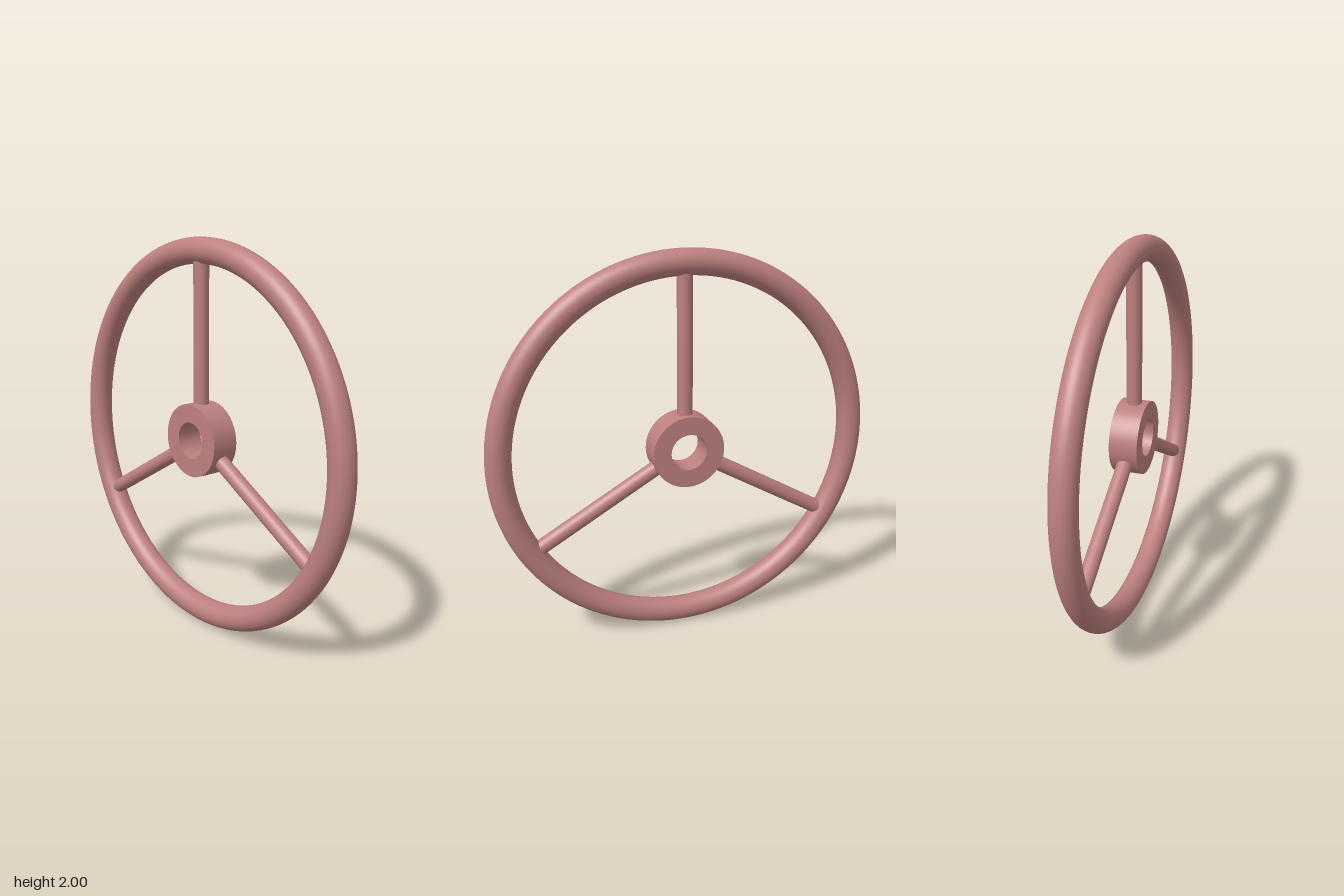
import * as THREE from 'three';
import { mergeGeometries } from 'three/addons/utils/BufferGeometryUtils.js';

const RIM = 0.936, TUBE = 0.064;                  // rim centre line and thickness
const HUB = 0.187, BORE = 0.094, HALF = 0.072;    // hub radii and half width
const SPOKE = 0.039;

// Ring with sharp edges: one lathe strip per side of its square profile
function ringGeometry() {
  const corners = [[HUB, -HALF], [HUB, HALF], [BORE, HALF], [BORE, -HALF]];
  const strips = corners.map((c, i) => {
    const next = corners[(i + 1) % corners.length];
    return new THREE.LatheGeometry([new THREE.Vector2(...c), new THREE.Vector2(...next)], 64);
  });
  return mergeGeometries(strips);
}

export function createModel() {
  const group = new THREE.Group();
  group.name = 'handwheel';
  const paint = new THREE.MeshStandardMaterial({ color: 0xbc807e });
  paint.name = 'dustyRed';

  const add = (name, geometry) => {
    const mesh = new THREE.Mesh(geometry, paint);
    mesh.name = name;
    mesh.position.y = 1;
    group.add(mesh);
    return mesh;
  };

  // Round rim, axle along x
  add('rim', new THREE.TorusGeometry(RIM, TUBE, 32, 128).rotateY(Math.PI / 2));

  // Hub with a through bore
  add('hub', ringGeometry().rotateZ(Math.PI / 2));

  // Three spokes, from inside the hub wall to the rim's centre line
  const start = (HUB + BORE) / 2 + 0.01;
  for (let i = 0; i < 3; i++) {
    const spoke = new THREE.CylinderGeometry(SPOKE, SPOKE, RIM - start, 32);
    spoke.translate(0, (RIM + start) / 2, 0);
    add('spoke' + (i + 1), spoke).rotation.x = i * Math.PI * 2 / 3;
  }
  return group;
}
